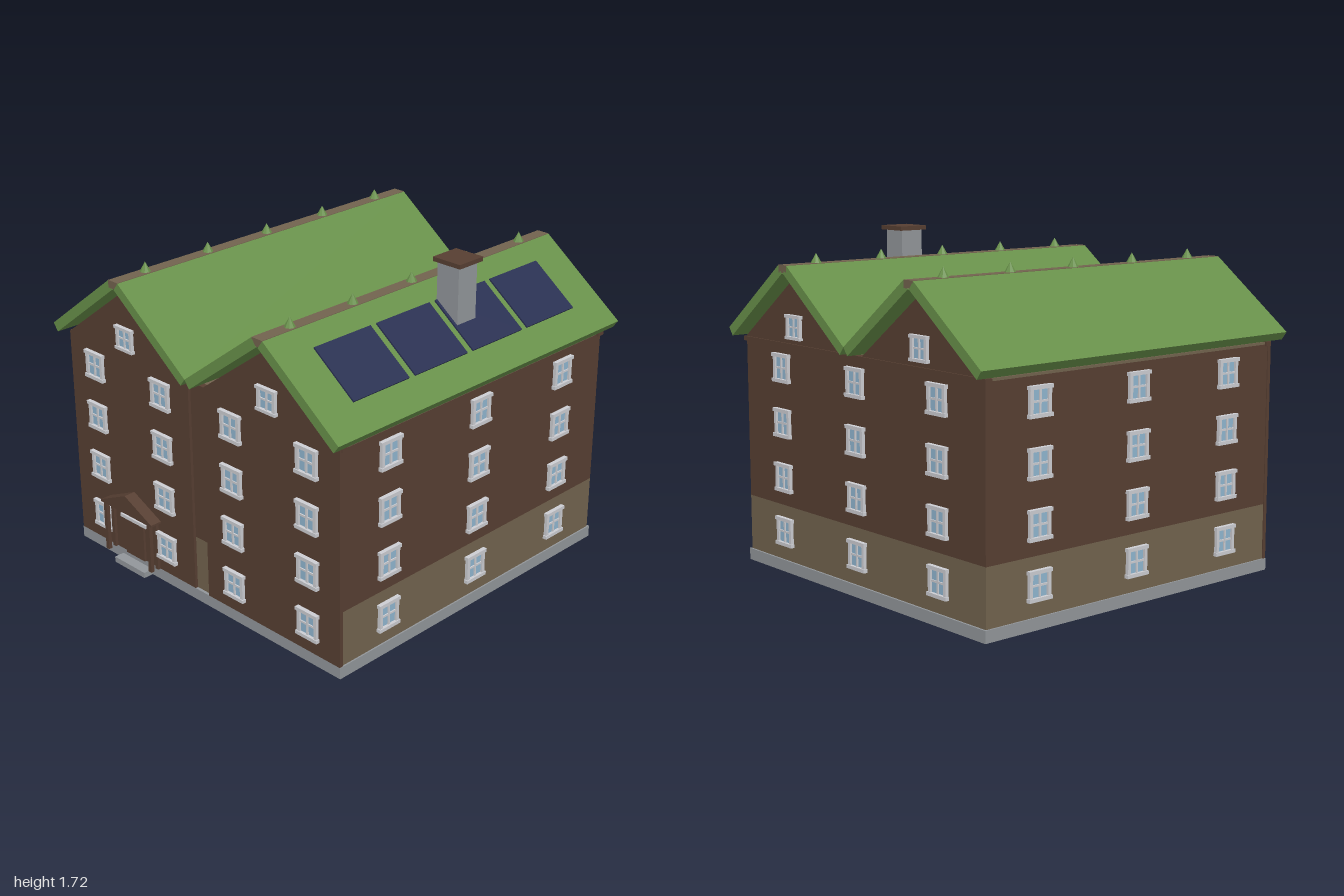
import * as THREE from 'three';

const mat = (name, color) => {
  const m = new THREE.MeshStandardMaterial({ color });
  m.name = name;
  return m;
};

export function createModel() {
  const model = new THREE.Group();
  model.name = 'apartmentHouse';
  const wood = mat('brown wood', 0x573f32);
  const tan = mat('tan stone', 0x72634e);
  const grey = mat('grey concrete', 0x92969a);
  const grass = mat('green roof', 0x68904a);
  const solar = mat('navy panel', 0x2a3152);
  const white = mat('white frame', 0xcccdd2);
  const glass = mat('blue glass', 0x90b6d0);

  const add = (name, geo, material, parent = model) => {
    const mesh = new THREE.Mesh(geo, material);
    mesh.name = name;
    parent.add(mesh);
    return mesh;
  };
  // Box given by its lower and upper limits on each axis
  const box = (name, material, x0, x1, y0, y1, z0, z1, parent) => {
    const mesh = add(name, new THREE.BoxGeometry(x1 - x0, y1 - y0, z1 - z0), material, parent);
    mesh.position.set((x0 + x1) / 2, (y0 + y1) / 2, (z0 + z1) / 2);
    return mesh;
  };
  // Outline in the xy plane, extruded forward from z0 to z1
  const plate = (name, material, points, z0, z1) => {
    const shape = new THREE.Shape(points.map(p => new THREE.Vector2(...p)));
    const geo = new THREE.ExtrudeGeometry(shape, { depth: z1 - z0, bevelEnabled: false });
    geo.translate(0, 0, z0);
    return add(name, geo, material);
  };

  // Base and main walls
  box('plinth', grey, -0.953, 0.953, 0, 0.06, -0.94, 0.94);
  box('stoneGroundFloor', tan, -0.945, 0.945, 0.06, 0.345, -0.93, 0.925);
  box('upperWalls', wood, -0.945, 0.945, 0.345, 1.165, -0.93, 0.925);
  box('atticFloor', tan, -0.945, 0.945, 1.165, 1.178, -0.9, 0.9);
  box('frontCornice', wood, -0.957, 0.957, 1.157, 1.18, 0.9, 0.932);
  box('backCornice', wood, -0.957, 0.957, 1.157, 1.18, -0.94, -0.9);

  // Twin front facades, back gables and the two roofs
  for (const cx of [-0.5, 0.5]) {
    plate('frontFacade', wood, [[cx - 0.45, 0.06], [cx + 0.45, 0.06], [cx + 0.45, 1.178],
      [cx, 1.51], [cx - 0.45, 1.178]], 0.92, 0.94);
    plate('backGable', wood, [[cx - 0.45, 1.178], [cx + 0.45, 1.178], [cx, 1.51]], -0.932, -0.912);

    // Square-ended slope slabs, leaving a groove for the ridge board
    for (const s of [-1, 1]) {
      const pts = [[cx + s * 0.5, 1.225], [cx + s * 0.035, 1.574],
        [cx + s * 0.005, 1.534], [cx + s * 0.47, 1.185]];
      plate('roofSlope', grass, s < 0 ? pts.reverse() : pts, -1, 1);
    }
    box('ridgeBoard', tan, cx - 0.034, cx + 0.034, 1.538, 1.576, -1, 1);
    for (let i = -2; i <= 2; i++) {
      const cone = add('ridgeShrub', new THREE.ConeGeometry(0.028, 0.05, 8).toNonIndexed(), grass);
      cone.geometry.computeVertexNormals();
      cone.position.set(cx, 1.6, i * 0.4);
    }
  }

  // Solar panels lying on the outer left slope
  const pitch = Math.atan2(0.349, 0.465);
  for (let i = 0; i < 4; i++) {
    const panel = add('solarPanel', new THREE.BoxGeometry(0.306, 0.012, 0.36), solar);
    panel.position.set(0.752, 1.414, 0.6 - i * 0.4);
    panel.rotation.z = -pitch;
  }

  // Chimney
  box('chimney', grey, 0.63, 0.762, 1.178, 1.7, -0.165, -0.035);
  box('chimneyCap', wood, 0.613, 0.78, 1.7, 1.722, -0.185, -0.02);

  // Window facing +z about its own centre, then turned to its wall
  const windowAt = (x, y, z, turn) => {
    const g = new THREE.Group();
    g.name = 'window';
    box('glass', glass, -0.055, 0.055, -0.06, 0.06, 0, 0.006, g);
    for (const s of [-1, 1]) {
      box('sideFrame', white, s * 0.055 - 0.009, s * 0.055 + 0.009, -0.065, 0.065, 0, 0.017, g);
      box('sillAndHead', white, -0.07, 0.07, s * 0.064 - 0.009, s * 0.064 + 0.009, 0, 0.022, g);
    }
    box('mullion', white, -0.005, 0.005, -0.06, 0.06, 0, 0.013, g);
    box('transom', white, -0.05, 0.05, -0.005, 0.005, 0, 0.012, g);
    g.position.set(x, y, z);
    g.rotation.y = turn;
    model.add(g);
    return g;
  };
  for (const y of [0.21, 0.49, 0.77, 1.05]) {
    for (const x of [-0.75, -0.25, 0.25, 0.75]) windowAt(x, y, 0.94, 0);
    for (const t of [-0.62, 0, 0.62]) {
      windowAt(t, y, -0.93, Math.PI);
      windowAt(0.945, y, t, Math.PI / 2);
      windowAt(-0.945, y, t, -Math.PI / 2);
    }
  }
  for (const x of [-0.5, 0.5]) {
    windowAt(x, 1.265, 0.94, 0).scale.set(0.92, 0.84, 1);
    windowAt(x, 1.265, -0.932, Math.PI).scale.set(0.92, 0.84, 1);
  }

  // Entrance: door, lintel, step and gabled porch
  box('door', wood, -0.575, -0.43, 0.06, 0.255, 0.94, 0.952);
  box('doorLintel', white, -0.6, -0.4, 0.262, 0.28, 0.94, 0.96);
  box('doorStep', grey, -0.62, -0.385, 0, 0.03, 0.94, 0.995);
  for (const x of [-0.67, -0.33]) {
    box('porchPost', wood, x - 0.011, x + 0.011, 0.06, 0.33, 0.98, 1);
    box('porchWallPost', wood, x - 0.011, x + 0.011, 0.06, 0.33, 0.94, 0.956);
  }
  plate('porchRoof', wood, [[-0.7, 0.328], [-0.3, 0.328], [-0.3, 0.338], [-0.5, 0.43], [-0.7, 0.338]], 0.94, 1.003);

  return model;
}
